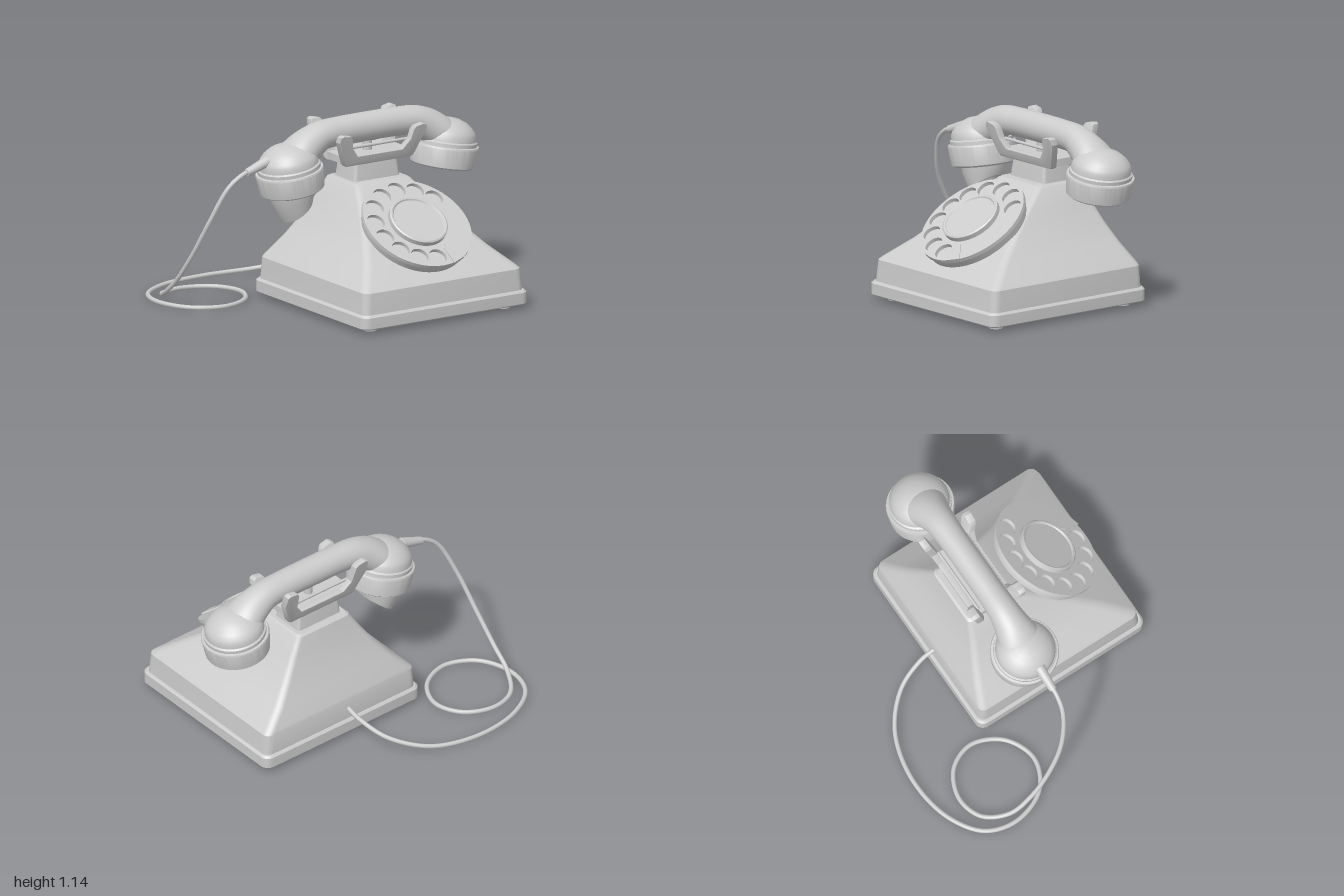
import * as THREE from 'three';
import { toCreasedNormals } from 'three/addons/utils/BufferGeometryUtils.js';

const CX = 0.22; // middle of the telephone; the cord fills the other side
const V = (x, y, z) => new THREE.Vector3(x, y, z);

// Skin a list of equal-length rings, closing both ends
function loft(rings, crease = 0.45) {
  const n = rings[0].length, pos = [], idx = [];
  rings.forEach(r => r.forEach(p => pos.push(p.x, p.y, p.z)));
  for (let k = 0; k < rings.length - 1; k++) {
    for (let i = 0; i < n; i++) {
      const a = k * n + i, b = k * n + (i + 1) % n;
      idx.push(a, b, b + n, a, b + n, a + n);
    }
  }
  [0, rings.length - 1].forEach((k, end) => {
    const c = rings[k].reduce((s, p) => s.add(p), V(0, 0, 0)).divideScalar(n);
    const ci = pos.length / 3;
    pos.push(c.x, c.y, c.z);
    for (let i = 0; i < n; i++) {
      const a = k * n + i, b = k * n + (i + 1) % n;
      if (end) idx.push(ci, a, b); else idx.push(ci, b, a);
    }
  });
  const g = new THREE.BufferGeometry();
  g.setAttribute('position', new THREE.Float32BufferAttribute(pos, 3));
  g.setIndex(idx);
  return toCreasedNormals(g, crease);
}

// Horizontal rounded rectangle: height, half width, back z, front z, corner radius
function rectRing([y, w, z0, z1, r]) {
  const pts = [];
  for (let q = 0; q < 4; q++) {
    const x = CX + (q === 0 || q === 3 ? 1 : -1) * (w - r);
    const z = q < 2 ? z0 + r : z1 - r;
    for (let i = 0; i <= 5; i++) {
      const a = (q + i / 5) * Math.PI / 2;
      pts.push(V(x + r * Math.cos(a), y, z - r * Math.sin(a)));
    }
  }
  return pts;
}

function lathe(profile) {
  return toCreasedNormals(new THREE.LatheGeometry(profile.map(p => new THREE.Vector2(...p)), 48), 0.5);
}

export function createModel() {
  const grey = new THREE.MeshStandardMaterial({ color: 0xcccccc });
  grey.name = 'light grey';
  const model = new THREE.Group();
  const add = (name, geo, parent = model) => {
    const m = new THREE.Mesh(geo, grey);
    m.name = name;
    parent.add(m);
    return m;
  };

  // Plinth with recessed underside
  add('plinth', loft([
    [0.06, 0.575, -0.315, 0.835, 0.04], [0.03, 0.575, -0.315, 0.835, 0.04],
    [0.03, 0.6, -0.34, 0.86, 0.05], [0.037, 0.607, -0.346, 0.866, 0.055],
    [0.105, 0.607, -0.346, 0.866, 0.055], [0.118, 0.595, -0.334, 0.854, 0.05],
  ].map(rectRing)));

  // Flared housing
  add('housing', loft([
    [0.11, 0.588, -0.327, 0.843, 0.05], [0.25, 0.578, -0.322, 0.832, 0.05],
    [0.27, 0.562, -0.316, 0.808, 0.05], [0.38, 0.452, -0.272, 0.661, 0.05],
    [0.50, 0.357, -0.226, 0.501, 0.045], [0.62, 0.275, -0.188, 0.341, 0.04],
    [0.735, 0.205, -0.16, 0.19, 0.035], [0.745, 0.19, -0.145, 0.172, 0.03],
  ].map(rectRing)));

  // Neck and cradle platform
  add('neck', loft([
    [0.73, 0.168, -0.115, 0.115, 0.02], [0.87, 0.152, -0.1, 0.1, 0.02],
  ].map(rectRing)));
  add('cradlePlatform', loft([
    [0.86, 0.235, -0.1, 0.12, 0.02], [0.905, 0.235, -0.1, 0.12, 0.02],
  ].map(rectRing)));

  // Feet
  for (const x of [-0.49, 0.49]) for (const z of [-0.24, 0.75]) {
    add('foot', lathe([[0.022, 0.03], [0.025, 0], [0.042, 0], [0.054, 0.065]])).position.set(CX + x, 0, z);
  }

  // Cradle forks: U plates leaning outwards
  function fork(name, top, side) {
    const s = new THREE.Shape();
    const half = [[0.235, 0.856], [0.25, 0.868], [0.315, 1.02], [0.31, top - 0.008], [0.29, top],
      [0.24, top - 0.01], [0.226, top - 0.03], [0.215, 0.97], [0.165, 0.908]];
    half.forEach(([x, y], i) => (i ? s.lineTo(x, y) : s.moveTo(x, y)));
    half.slice().reverse().forEach(([x, y]) => s.lineTo(-x, y));
    s.closePath();
    const g = new THREE.ExtrudeGeometry(s, { depth: 0.035, bevelEnabled: true, bevelThickness: 0.006, bevelSize: 0.004, bevelSegments: 2 });
    const p = g.attributes.position;
    for (let i = 0; i < p.count; i++) {
      p.setZ(i, p.getZ(i) - 0.0175 + side * (0.105 + 0.28 * (p.getY(i) - 0.86)));
    }
    add(name, toCreasedNormals(g, 0.5)).position.x = CX;
  }
  fork('frontFork', 1.06, 1);
  fork('backFork', 1.11, -1);

  // Hook switch under the handset
  add('plunger', new THREE.CylinderGeometry(0.028, 0.028, 0.08, 20)).position.set(CX, 0.935, 0);
  for (const z of [-0.105, 0.105]) {
    add('cradleBar', new THREE.CapsuleGeometry(0.01, 0.43, 4, 10).rotateZ(Math.PI / 2)).position.set(CX, 0.962, z);
  }

  // Dial: local z is the outward axis
  const dial = new THREE.Group();
  dial.name = 'dial';
  dial.position.set(CX, 0.547, 0.535);
  dial.rotation.x = -0.95;
  model.add(dial);
  const disc = (name, r, z0, z1, r2 = r) =>
    add(name, new THREE.CylinderGeometry(r2, r, z1 - z0, 64).rotateX(Math.PI / 2), dial).position.z = (z0 + z1) / 2;
  disc('dialHousing', 0.325, -0.12, -0.062);
  disc('dialRim', 0.335, -0.065, -0.018, 0.343);
  const wheel = new THREE.Shape().absarc(0, 0, 0.352, 0, Math.PI * 2);
  for (let i = 0; i < 10; i++) {
    const a = THREE.MathUtils.degToRad(38 + i * 25.8);
    wheel.holes.push(new THREE.Path().absarc(0.276 * Math.cos(a), 0.276 * Math.sin(a), 0.057, 0, Math.PI * 2, true));
  }
  add('fingerWheel', toCreasedNormals(new THREE.ExtrudeGeometry(wheel, { depth: 0.024, bevelEnabled: false, curveSegments: 32 }), 0.5), dial).position.z = -0.014;
  add('dialCentre', lathe([[0.175, 0], [0.187, 0.01], [0.187, 0.04], [0.178, 0.046], [0.168, 0.044],
    [0.162, 0.036], [0, 0.036]]).rotateX(Math.PI / 2), dial);
  const stop = new THREE.Shape([[0.09, -0.2], [0.07, -0.23], [0.08, -0.35], [0.19, -0.305]].map(p => new THREE.Vector2(...p)).reverse());
  add('fingerStop', new THREE.ExtrudeGeometry(stop, { depth: 0.006, bevelEnabled: false }), dial).position.z = 0.011;

  // Handset grip: ellipses swept along a bowed path [u, y, ry, rz]
  const half = [[0.2, 1.049, 0.089, 0.088], [0.34, 1.039, 0.091, 0.095], [0.41, 1.01, 0.1, 0.107],
    [0.48, 0.968, 0.105, 0.127], [0.56, 0.91, 0.1, 0.15]];
  const stations = [...half.map(([u, ...r]) => [-u, ...r]).reverse(), [0, 1.05, 0.09, 0.088], ...half];
  const path = new THREE.CatmullRomCurve3(stations.map(s => V(CX + s[0], s[1], 0)));
  const sizes = new THREE.CatmullRomCurve3(stations.map(s => V(s[2], s[3], 0)));
  const rings = [];
  for (let k = 0; k <= 50; k++) {
    const c = path.getPoint(k / 50), t = path.getTangent(k / 50), s = sizes.getPoint(k / 50);
    rings.push(Array.from({ length: 32 }, (_, i) => {
      const a = i / 32 * Math.PI * 2, h = s.x * Math.cos(a);
      return V(c.x - t.y * h, c.y + t.x * h, s.y * Math.sin(a));
    }));
  }
  add('handsetGrip', loft(rings, 1));

  // Ear and mouth cups, tilted outwards
  for (const side of [-1, 1]) {
    const cup = new THREE.Group();
    cup.name = side > 0 ? 'earCup' : 'mouthCup';
    cup.position.set(CX + side * 0.573, 0.86, 0);
    cup.rotation.z = -side * 0.17;
    model.add(cup);
    add('cap', lathe([[0, -0.135], [0.185, -0.135], [0.199, -0.125], [0.211, -0.01], [0.207, 0], [0.19, 0.003]]), cup);
    add('bell', lathe([[0.194, -0.01], [0.194, 0.024], [0.184, 0.032], [0.182, 0.062], [0.172, 0.084],
      [0.15, 0.11], [0.115, 0.136], [0.07, 0.154], [0, 0.163]]), cup);
  }

  // Mouthpiece horn with a slanted hollow mouth
  const hornRing = (x, y, dx, dy, rz) => Array.from({ length: 40 }, (_, i) => {
    const a = i / 40 * Math.PI * 2;
    return V(x + dx * Math.cos(a), y + dy * Math.cos(a), rz * Math.sin(a));
  });
  add('mouthpieceHorn', loft([
    hornRing(-0.335, 0.735, 0.14, 0.024, 0.14), hornRing(-0.33, 0.69, 0.134, 0.035, 0.135),
    hornRing(-0.302, 0.606, 0.094, 0.072, 0.115), hornRing(-0.302, 0.607, 0.084, 0.064, 0.105),
    hornRing(-0.318, 0.65, 0.05, 0.035, 0.06),
  ], 0.6));

  // Cord boot and cord
  const boot = add('cordBoot', new THREE.CylinderGeometry(0.034, 0.024, 0.16, 20));
  boot.position.set(-0.59, 0.908, 0);
  boot.rotation.z = -1.25;
  const cord = new THREE.CatmullRomCurve3([
    [-0.62, 0.898, 0], [-0.7, 0.872, 0], [-0.79, 0.8, -0.015], [-0.885, 0.58, -0.085], [-0.93, 0.36, -0.2],
    [-0.948, 0.17, -0.35], [-0.935, 0.06, -0.5], [-0.84, 0.02, -0.645], [-0.67, 0.016, -0.692],
    [-0.49, 0.016, -0.61], [-0.42, 0.016, -0.44], [-0.51, 0.016, -0.25], [-0.71, 0.016, -0.168],
    [-0.9, 0.016, -0.26], [-0.985, 0.016, -0.48], [-0.93, 0.016, -0.68], [-0.72, 0.016, -0.82],
    [-0.4, 0.018, -0.86], [-0.1, 0.035, -0.78], [0.09, 0.09, -0.61], [0.16, 0.155, -0.42], [0.165, 0.19, -0.3],
  ].map(p => V(...p)));
  add('cord', new THREE.TubeGeometry(cord, 220, 0.0145, 10));

  return model;
}
